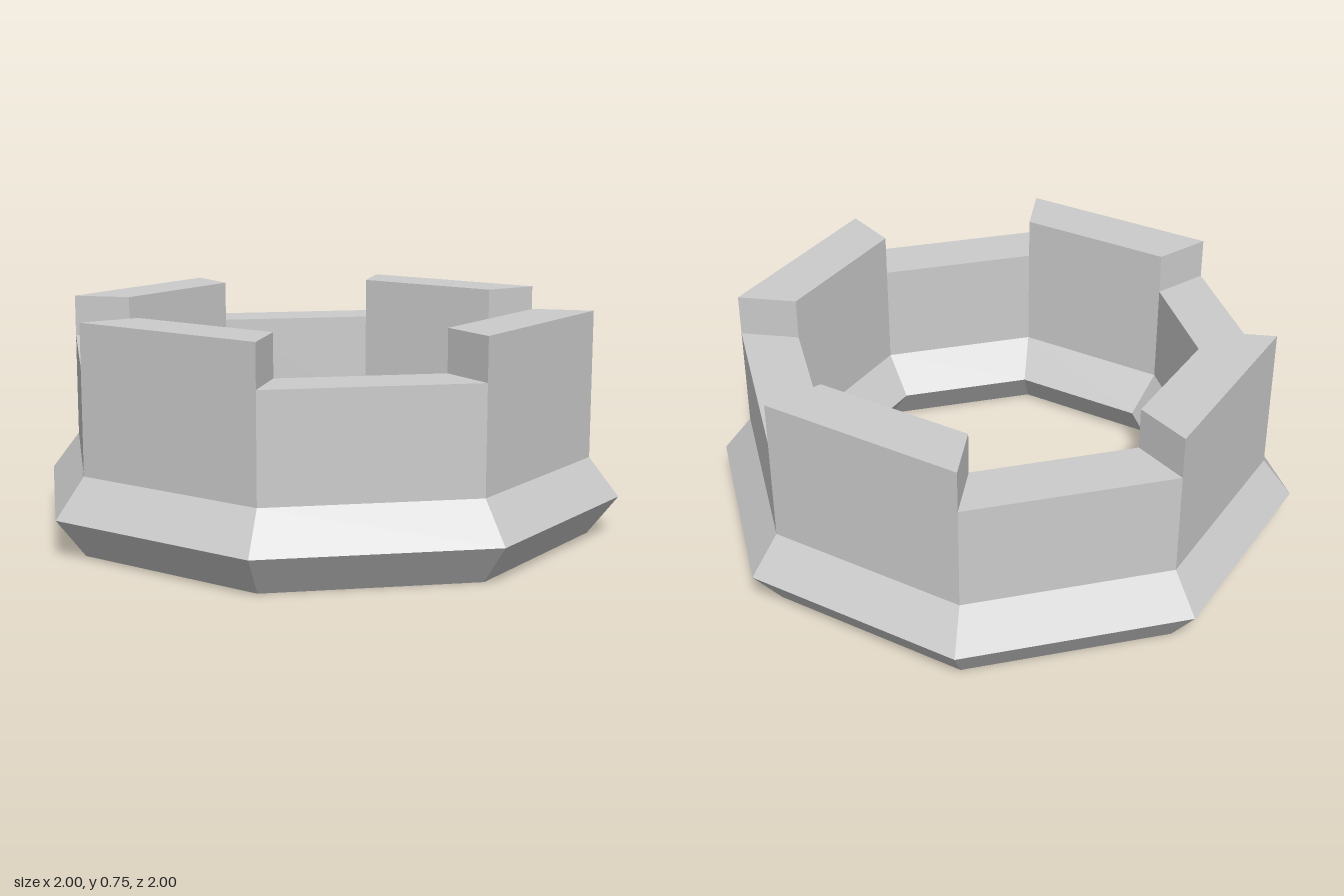
import * as THREE from 'three';

const SIDES = 8, OUTER = 0.9, INNER = 0.7;
const WALL_TOP = 0.61, MERLON_TOP = 0.75;

export function createModel() {
  const group = new THREE.Group();
  const material = new THREE.MeshStandardMaterial({ color: 0xcccccc, flatShading: true });

  // Octagonal wall with a flared base, as a closed ring profile
  const profile = [
    [OUTER, 0], [1, 0.13], [OUTER, 0.26], [OUTER, WALL_TOP],
    [INNER, WALL_TOP], [INNER, 0.26], [0.6, 0.13], [INNER, 0], [OUTER, 0],
  ].map(([r, y]) => new THREE.Vector2(r, y));
  const wall = new THREE.Mesh(new THREE.LatheGeometry(profile, SIDES), material);
  wall.name = 'towerWall';
  group.add(wall);

  // One merlon: a trapezoid covering a single side of the octagon
  const corner = (r, a) => new THREE.Vector2(r * Math.cos(a), r * Math.sin(a));
  const step = (2 * Math.PI) / SIDES;
  const outline = new THREE.Shape([
    corner(INNER, -step), corner(OUTER, -step), corner(OUTER, 0), corner(INNER, 0),
  ]);
  const merlonGeometry = new THREE.ExtrudeGeometry(outline, {
    depth: MERLON_TOP - WALL_TOP, bevelEnabled: false,
  });
  merlonGeometry.rotateX(-Math.PI / 2).translate(0, WALL_TOP, 0);

  // Merlons on every second side
  for (let i = 0; i < SIDES / 2; i++) {
    const merlon = new THREE.Mesh(merlonGeometry, material);
    merlon.name = `merlon${i + 1}`;
    merlon.rotation.y = 2 * step * i;
    group.add(merlon);
  }
  return group;
}
